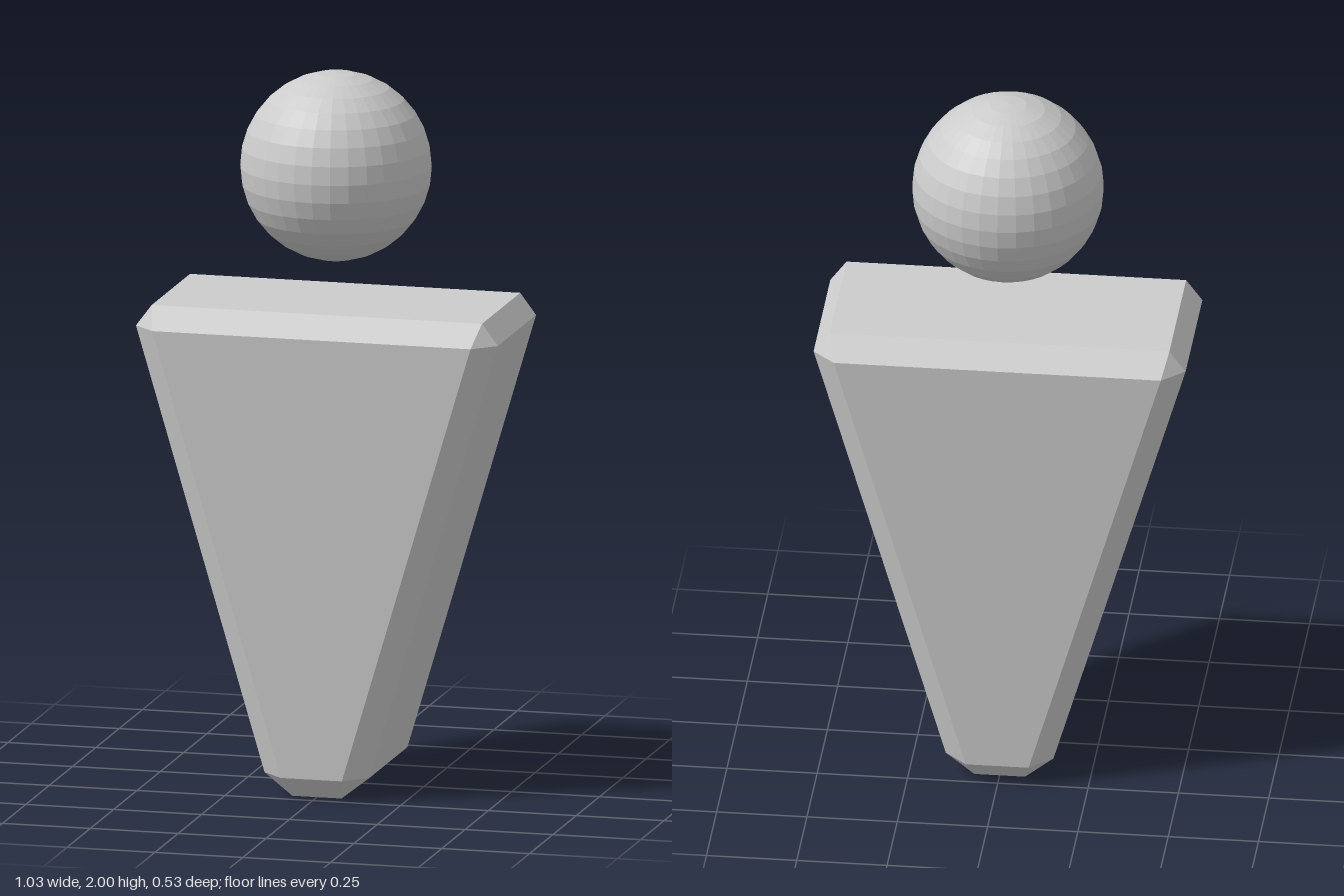
import * as THREE from 'three';
import { ConvexGeometry } from 'three/addons/geometries/ConvexGeometry.js';

const grey = new THREE.MeshStandardMaterial({ color: 0xcccccc, flatShading: true });

// Tapered block with chamfered edges: each corner is cut into three points,
// one each on the front/back, the side and the top/bottom face.
function chamferedWedge() {
  const corners = [
    [[0.453, 1.3, 0.265], [0.515, 1.3, 0.205], [0.47, 1.36, 0.205]], // upper
    [[0.087, 0.062, 0.265], [0.149, 0.062, 0.205], [0.07, 0, 0.205]], // lower
  ];
  const points = [];
  for (const [x, y, z] of corners.flat())
    for (const sx of [-1, 1])
      for (const sz of [-1, 1]) points.push(new THREE.Vector3(sx * x, y, sz * z));
  return new ConvexGeometry(points);
}

export function createModel() {
  const model = new THREE.Group();
  model.name = 'figure';

  // Body narrowing to the foot
  const body = new THREE.Mesh(chamferedWedge(), grey);
  body.name = 'body';

  // Faceted head floating above the body
  const radius = 0.264;
  const head = new THREE.Mesh(new THREE.SphereGeometry(radius, 32, 16), grey);
  head.name = 'head';
  head.position.y = 2 - radius;

  model.add(body, head);
  return model;
}
